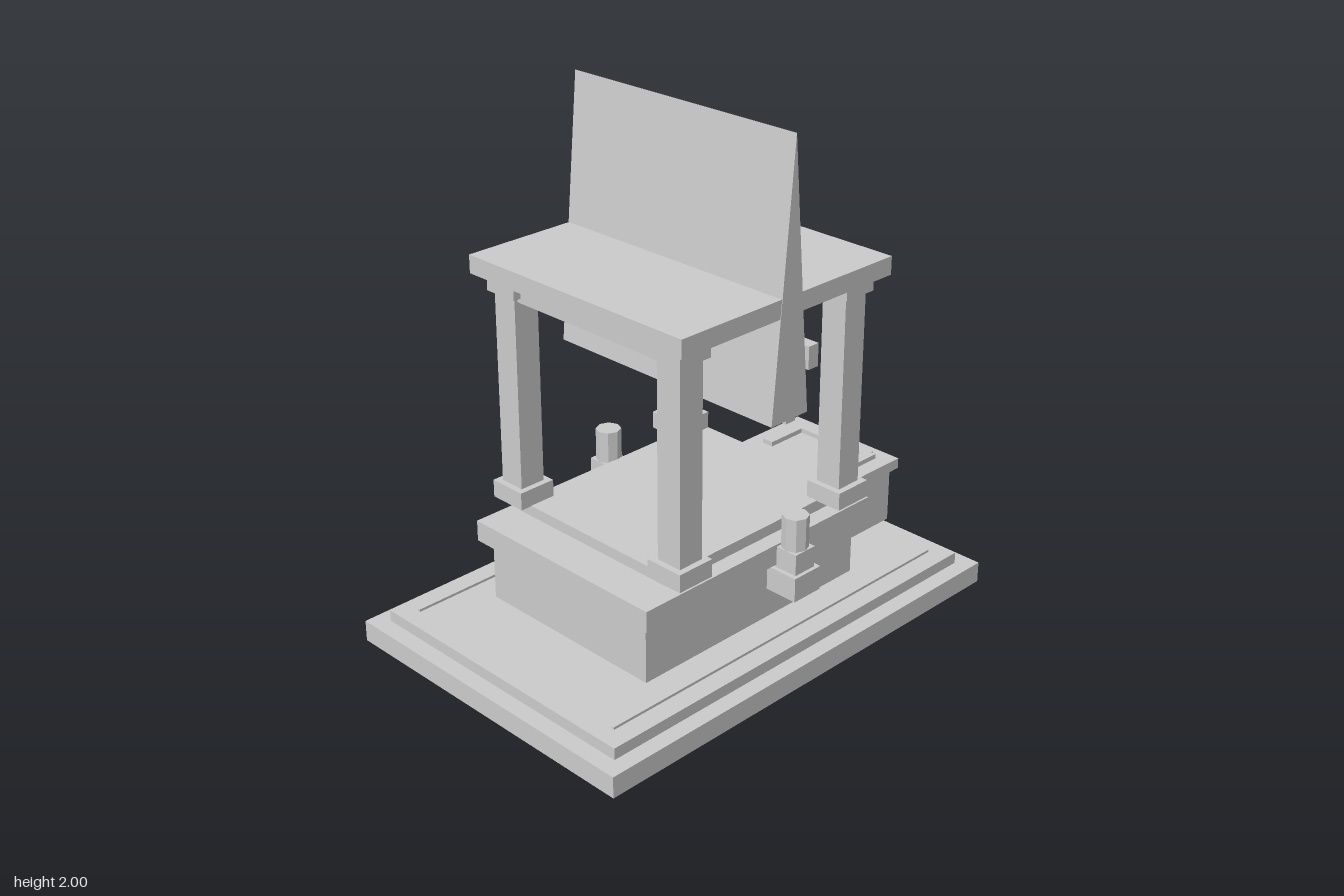
import * as THREE from 'three';

const material = new THREE.MeshStandardMaterial({ color: 0xcccccc, flatShading: true });

// Box given by its limits on each axis
function block(parent, name, [x0, x1], [y0, y1], [z0, z1]) {
  const mesh = new THREE.Mesh(new THREE.BoxGeometry(x1 - x0, y1 - y0, z1 - z0), material);
  mesh.position.set((x0 + x1) / 2, (y0 + y1) / 2, (z0 + z1) / 2);
  mesh.name = name;
  parent.add(mesh);
  return mesh;
}

// Box centred on a vertical axis
function post(parent, name, x, z, width, depth, y) {
  return block(parent, name, [x - width / 2, x + width / 2], y, [z - depth / 2, z + depth / 2]);
}

function group(parent, name) {
  const g = new THREE.Group();
  g.name = name;
  parent.add(g);
  return g;
}

export function createModel() {
  const model = new THREE.Group();
  model.name = 'shrine';

  // Stepped ground plinth with narrow edging strips
  const plinth = group(model, 'plinth');
  block(plinth, 'lowerStep', [-0.667, 0.667], [0, 0.083], [-0.97, 0.97]);
  block(plinth, 'upperStep', [-0.602, 0.602], [0.083, 0.128], [-0.903, 0.903]);
  for (const s of [-1, 1]) post(plinth, 'edgingStrip', s * 0.52, 0, 0.01, 1.666, [0.128, 0.138]);

  // Main tomb: body, cornice and top slab
  const tomb = group(model, 'tomb');
  block(tomb, 'tombBody', [-0.402, 0.402], [0.128, 0.365], [-0.51, 0.566]);
  block(tomb, 'tombCornice', [-0.445, 0.445], [0.365, 0.447], [-0.547, 0.603]);
  block(tomb, 'tombSlab', [-0.38, 0.38], [0.447, 0.49], [-0.42, 0.44]);

  // Four square columns with bases and capitals
  for (const x of [-0.408, 0.408]) {
    for (const z of [-0.408, 0.408]) {
      const column = group(model, 'column');
      post(column, 'columnShaft', x, z, 0.106, 0.106, [0.475, 1.31]);
      post(column, 'columnBase', x, z, 0.155, 0.155, [0.488, 0.557]);
      post(column, 'columnCapital', x, z, 0.143, 0.143, [1.308, 1.37]);
    }
  }

  // Canopy slab with front and back lintels
  const canopy = group(model, 'canopy');
  block(canopy, 'canopySlab', [-0.525, 0.525], [1.37, 1.44], [-0.517, 0.517]);
  for (const z of [-0.408, 0.408]) post(canopy, 'lintel', 0, z, 0.72, 0.08, [1.29, 1.37]);

  // Tall wedge through the canopy, a triangle extruded across the width
  const profile = new THREE.Shape([
    new THREE.Vector2(-0.09, 0.985),
    new THREE.Vector2(0.09, 0.985),
    new THREE.Vector2(0, 2),
  ]);
  const wedgeGeometry = new THREE.ExtrudeGeometry(profile, { depth: 1.054, bevelEnabled: false });
  wedgeGeometry.translate(0, 0, -0.527).rotateY(Math.PI / 2);
  const wedge = new THREE.Mesh(wedgeGeometry, material);
  wedge.name = 'roofWedge';
  model.add(wedge);

  // Cross behind the tomb
  const cross = group(model, 'cross');
  block(cross, 'crossUpright', [-0.045, 0.045], [0.617, 1.098], [-0.578, -0.525]);
  for (const s of [-1, 1]) post(cross, 'crossArm', s * 0.098, -0.5515, 0.106, 0.053, [0.88, 0.975]);

  // Side lamps on stepped brackets
  for (const s of [-1, 1]) {
    const lamp = group(model, 'sideLamp');
    post(lamp, 'lampFoot', s * 0.484, -0.093, 0.135, 0.135, [0.26, 0.355]);
    post(lamp, 'lampBlock', s * 0.487, -0.093, 0.1, 0.1, [0.355, 0.438]);
    const cup = new THREE.Mesh(new THREE.CylinderGeometry(0.05, 0.05, 0.129, 8), material);
    cup.position.set(s * 0.487, 0.5025, -0.093);
    cup.name = 'lampCup';
    lamp.add(cup);
  }

  // Small altar at the back with a raised U-shaped rim
  const altar = group(model, 'altar');
  block(altar, 'altarBody', [-0.242, 0.242], [0.128, 0.357], [-0.927, -0.626]);
  block(altar, 'altarSlab', [-0.266, 0.266], [0.357, 0.4], [-0.948, -0.605]);
  for (const s of [-1, 1]) post(altar, 'altarSideRim', s * 0.179, -0.777, 0.048, 0.212, [0.4, 0.419]);
  block(altar, 'altarBackRim', [-0.18, 0.18], [0.4, 0.419], [-0.896, -0.848]);

  return model;
}
